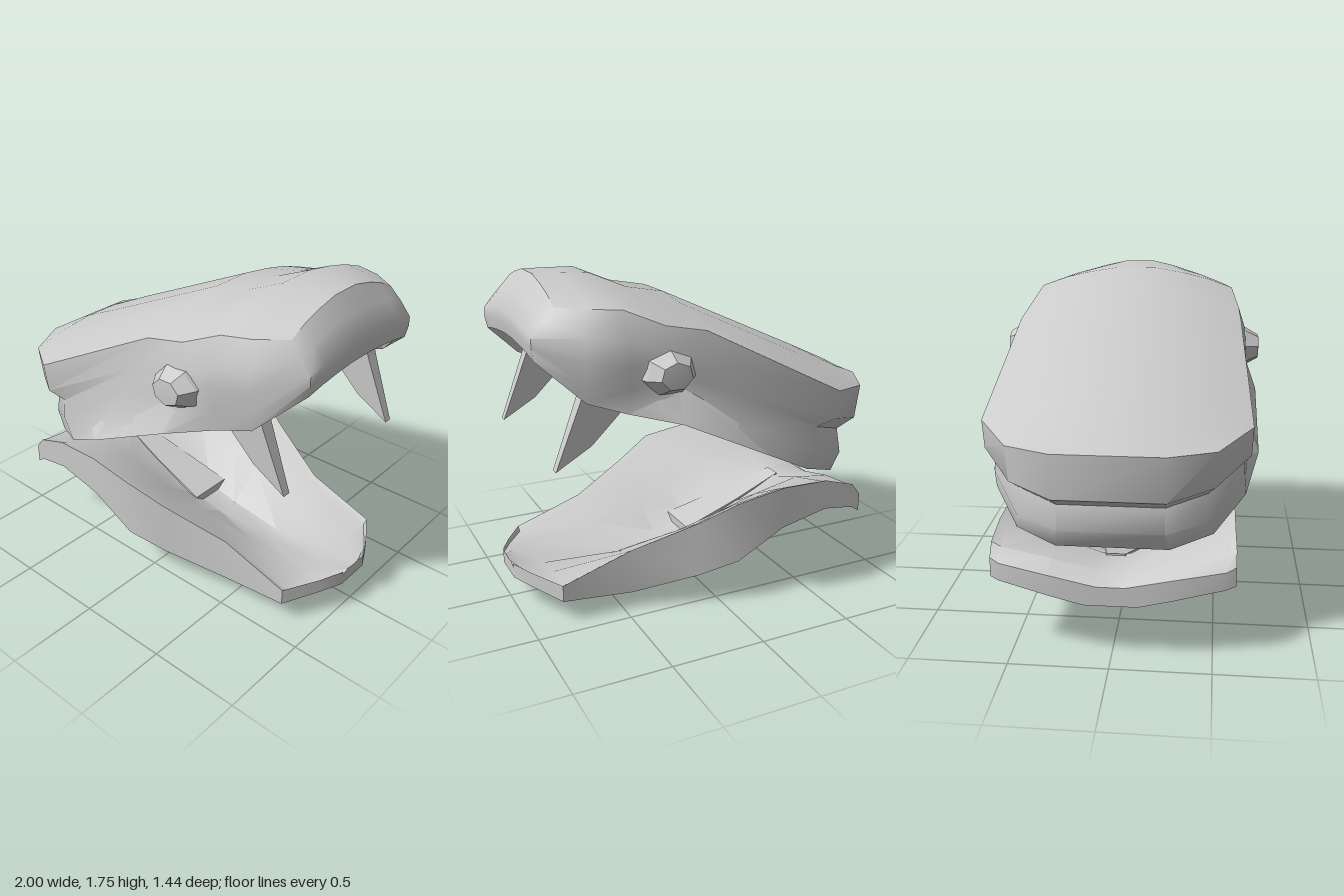
import * as THREE from 'three';
import { toCreasedNormals } from 'three/addons/utils/BufferGeometryUtils.js';

const material = new THREE.MeshStandardMaterial({ color: 0xcccccc, side: THREE.DoubleSide });

// Quads between neighbouring rows of points, appended as triangles
function addGrid(out, rows, { closed = false, flip = false } = {}) {
  const n = rows[0].length;
  for (let i = 0; i < rows.length - 1; i++) {
    for (let j = 0; j < (closed ? n : n - 1); j++) {
      const k = (j + 1) % n;
      const a = rows[i][j], b = rows[i][k], c = rows[i + 1][k], d = rows[i + 1][j];
      out.push(...(flip ? [a, c, b, a, d, c] : [a, b, c, a, c, d]));
    }
  }
}

function surface(name, points, crease) {
  const geo = new THREE.BufferGeometry();
  geo.setAttribute('position', new THREE.Float32BufferAttribute(points.flat(), 3));
  const mesh = new THREE.Mesh(toCreasedNormals(geo, crease), material);
  mesh.name = name;
  return mesh;
}

const mirror = ([x, y, z]) => [x, y, -z];

// Half profiles across the head: fraction of half width, fraction of height
const CROWN_ARCH = [[1, 0], [0.75, 0.45], [0.5, 0.75], [0.2, 1], [0, 1]];
const PALATE_ARCH = [[1, 0], [0.9, 0.75], [0.7, 0.95], [0.4, 1], [0, 1]];

// Columns of the head wall, snout to nape: brow edge down to mouth rim
const WALL = [
  [[0.82, 1.645, 0.41], [0.88, 1.58, 0.42], [0.94, 1.51, 0.42], [0.94, 1.46, 0.42], [0.93, 1.4, 0.41]],
  [[0.68, 1.64, 0.51], [0.72, 1.52, 0.57], [0.73, 1.41, 0.575], [0.73, 1.3, 0.565], [0.73, 1.21, 0.56]],
  [[0.54, 1.635, 0.56], [0.54, 1.5, 0.61], [0.53, 1.38, 0.62], [0.52, 1.25, 0.58], [0.52, 1.13, 0.56]],
  [[0.34, 1.55, 0.6], [0.33, 1.43, 0.64], [0.32, 1.33, 0.64], [0.31, 1.2, 0.655], [0.3, 1.09, 0.71]],
  [[0.13, 1.51, 0.61], [0.05, 1.33, 0.64], [-0.03, 1.18, 0.65], [-0.1, 1.0, 0.68], [-0.18, 0.86, 0.72]],
  [[-0.62, 1.13, 0.67], [-0.6, 0.98, 0.665], [-0.51, 0.94, 0.635], [-0.52, 0.83, 0.64], [-0.45, 0.72, 0.65]],
  [[-0.88, 1.085, 0.5], [-0.86, 0.9, 0.49], [-0.77, 0.84, 0.46], [-0.79, 0.7, 0.47], [-0.72, 0.61, 0.49]],
  [[-1, 1.09, 0.27], [-0.98, 0.86, 0.27], [-0.88, 0.8, 0.26], [-0.9, 0.67, 0.26], [-0.82, 0.56, 0.28]],
];
const CROWN_RISE = [0.11, 0.11, 0.11, 0.11, 0.11, 0.146, 0.07, 0];
const PALATE_RISE = [0.04, 0.24, 0.28, 0.26, 0.2, 0.12, 0.05, 0];
const SNOUT_RISE = [0.11, 0.08, 0.05, 0.04, 0.04];

// Arched rows spanning the head from one side to the other
function span(level, rises, arch) {
  const full = [...arch, ...arch.slice(0, -1).reverse().map(([t, h]) => [-t, h])];
  return WALL.map((col, i) => {
    const [x, y, z] = col[level];
    return full.map(([t, h]) => [x, y + h * rises[i], z * t]);
  });
}

function upperHead() {
  const group = new THREE.Group();
  group.name = 'upperHead';

  const crown = [];
  addGrid(crown, span(0, CROWN_RISE, CROWN_ARCH));
  group.add(surface('crown', crown, 0.8));

  // Cheeks, snout and nape as one wall running round the head
  const wall = [];
  const snout = CROWN_ARCH.slice(1, -1).reverse().map(([t, h]) =>
    WALL[0].map(([x, y, z], k) => [x, y + h * SNOUT_RISE[k], z * t]));
  const snoutMiddle = WALL[0].map(([x, y], k) => [x, y + SNOUT_RISE[k], 0]);
  const half = [...snout, ...WALL];
  const loop = [snoutMiddle, ...half, ...half.map(col => col.map(mirror)).reverse()];
  addGrid(wall, [...loop, loop[0]], { flip: true });
  group.add(surface('headWall', wall, 0.85));

  // Roof of the mouth
  const palate = [];
  addGrid(palate, span(4, PALATE_RISE, PALATE_ARCH), { flip: true });
  group.add(surface('palate', palate, 0.8));
  return group;
}

// Lower jaw stations: x, half width, rim y, crease y, bottom y, floor y, backward bulge
const JAW = [
  [1, 0.1, 0.235, 0.155, 0.155, 0.225, 0],
  [0.94, 0.22, 0.225, 0.145, 0.14, 0.2, 0],
  [0.83, 0.4, 0.21, 0.12, 0.11, 0.18, 0],
  [0.45, 0.41, 0.335, 0.09, 0, 0.15, 0],
  [0.12, 0.53, 0.47, 0.17, 0.045, 0.18, 0],
  [-0.08, 0.6, 0.57, 0.24, 0.08, 0.22, 0],
  [-0.35, 0.6, 0.61, 0.38, 0.2, 0.33, 0],
  [-0.62, 0.6, 0.605, 0.44, 0.33, 0.44, 0],
  [-0.79, 0.605, 0.555, 0.42, 0.31, 0.44, 0.04],
  [-0.84, 0.605, 0.49, 0.39, 0.29, 0.39, 0.07],
];

function lowerJaw() {
  const rings = JAW.map(([x, w, rim, crease, bottom, floor, bulge]) => {
    const top = [[1, rim], [0.92, rim - 0.02], [0.5, floor + (rim - floor) * 0.48], [0.12, floor]];
    const low = [[1, crease], [0.92, crease + (bottom - crease) * 0.13],
      [0.5, crease + (bottom - crease) * 0.6], [0.22, bottom]];
    const place = ([t, y]) => [x - bulge * (1 - t ** 4), y, w * t];
    const upper = top.map(place), lower = low.map(place);
    return [...upper, ...upper.map(mirror).reverse(), ...lower.map(mirror), ...lower.reverse()];
  });
  const points = [];
  addGrid(points, rings, { closed: true });
  // End caps, stitched between the top and bottom halves of the ring
  const cap = (ring, flip) => addGrid(points, [ring.slice(0, 8), ring.slice(8).reverse()], { flip });
  cap(rings[0], true);
  cap(rings[rings.length - 1], false);
  return surface('lowerJaw', points, 0.6);
}

// Tongue: a slim wedge widening towards its blunt tip
function tongue() {
  const rings = [[-0.65, 0.05, 0.45, 0.4], [-0.35, 0.09, 0.35, 0.28], [-0.01, 0.125, 0.25, 0.19]].map(
    ([x, w, top, low]) => [[x, top, w], [x, top, -w], [x, low, -w], [x, low, w]]);
  const points = [];
  addGrid(points, rings, { closed: true, flip: true });
  addGrid(points, [rings[0].slice(0, 2), rings[0].slice(2).reverse()]);
  addGrid(points, [rings[2].slice(0, 2), rings[2].slice(2).reverse()], { flip: true });
  return surface('tongue', points, 0.5);
}

// Faceted eye cone with a blunt front
function eye(side) {
  const profile = [[0.15, -0.08], [0.135, 0.01], [0.085, 0.08], [0, 0.085]].map(p => new THREE.Vector2(...p));
  const geo = toCreasedNormals(new THREE.LatheGeometry(profile, 7), 0.4);
  const mesh = new THREE.Mesh(geo, material);
  mesh.name = side > 0 ? 'eyeNear' : 'eyeFar';
  mesh.rotation.x = side * Math.PI / 2;
  mesh.scale.set(0.98, 1, 0.8);
  mesh.position.set(0.335, 1.33, side * 0.635);
  return mesh;
}

// Flat curved fang, tapering to the tip
function fang(side) {
  const shape = new THREE.Shape([[0.47, 1.36], [0.45, 1.2], [0.52, 1.13], [0.68, 0.97], [0.865, 0.86], [0.73, 1.21], [0.66, 1.42]]
    .map(p => new THREE.Vector2(...p)));
  const geo = new THREE.ExtrudeGeometry(shape, { depth: 0.08, bevelEnabled: false });
  geo.translate(0, 0, -0.04);
  const pos = geo.attributes.position;
  for (let i = 0; i < pos.count; i++) {
    pos.setZ(i, pos.getZ(i) * (0.55 + (pos.getY(i) - 0.86)));
  }
  geo.computeVertexNormals();
  const mesh = new THREE.Mesh(geo, material);
  mesh.name = side > 0 ? 'fangNear' : 'fangFar';
  mesh.position.z = side * 0.453;
  return mesh;
}

export function createModel() {
  const model = new THREE.Group();
  model.name = 'serpentHead';
  model.add(upperHead(), lowerJaw(), tongue());
  for (const side of [1, -1]) model.add(eye(side), fang(side));
  return model;
}
